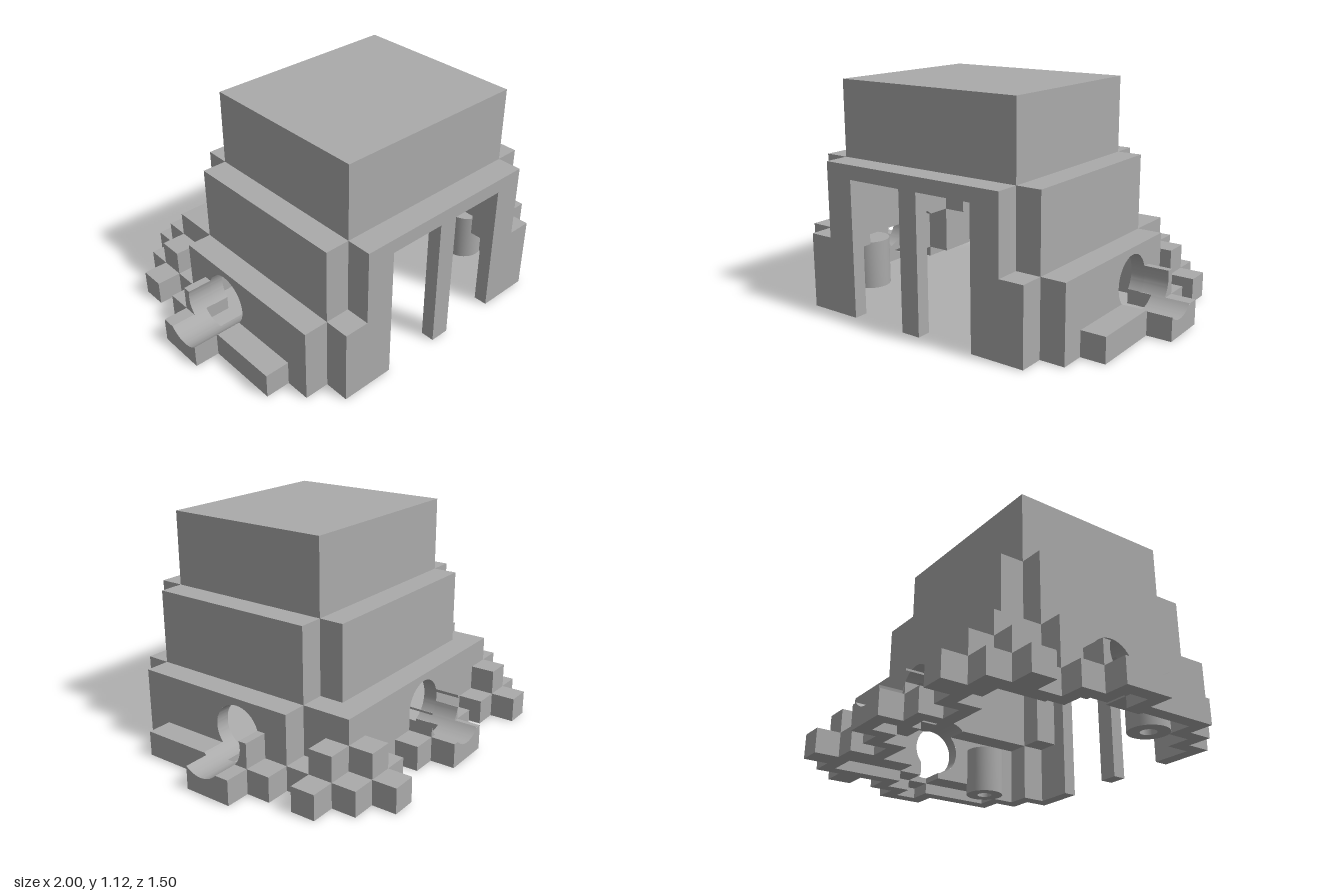
import * as THREE from 'three';
import { toCreasedNormals } from 'three/addons/utils/BufferGeometryUtils.js';

const U = 0.125; // block size
const WALL = 0.07; // shell thickness

// Stepped blocks, mirrored in x: [x0, x1, z0, z1, height], in block units
const BLOCKS = [
  // tiers
  [0, 4, -2, 5, 9],
  [0, 4, -3, 6, 6], [0, 5, -2, 5, 6],
  [0, 5, -4, 6, 3], [0, 6, -2, 5, 3],
  // rocks at the back corners
  [4, 5, -6, -5, 1], [4, 5, -5, -4, 2], [3, 6, -5, -4, 1],
  [5, 6, -4, -3, 2], [6, 7, -4, -3, 1], [5, 6, -3, -2, 1],
  // rocks around the back opening
  [0, 1, -6, -5, 1], [0, 1, -5, -4, 2], [1, 2, -5, -4, 1],
  // rocks around the side openings
  [6, 7, -2, 4, 1], [6, 7, -1, 1, 2], [7, 8, -1, 1, 1],
];

// Round openings: axis, cross axis u, extent along the axis, centre
const R = 0.128, CY = 0.212, SEGMENTS = 96;
const TUNNELS = [
  { a: 2, u: 0, from: -1, to: -0.4, c: 0 },
  { a: 0, u: 2, from: 0.5, to: 1.1, c: 0.04 },
  { a: 0, u: 2, from: -1.1, to: -0.5, c: 0.04 },
];

function heightAt(x, z) {
  const bx = Math.abs(x) / U, bz = z / U;
  let h = 0;
  for (const [x0, x1, z0, z1, bh] of BLOCKS)
    if (bx >= x0 && bx < x1 && bz >= z0 && bz < z1) h = Math.max(h, bh);
  return h * U;
}

// Solid where inside the blocks, but not in the cavity or the two doorways
function solid(x, y, z) {
  if (y < 0 || heightAt(x, z) <= y) return false;
  const ax = Math.abs(x);
  if (z > 0.6 && y < 0.68 && ax > 0.05 && ax < 0.35) return false;
  for (const dx of [-WALL, 0, WALL])
    for (const dz of [-WALL, 0, WALL])
      if (heightAt(x + dx, z + dz) <= y + WALL) return true;
  return false;
}

// Grid lines on every block edge and every inner wall edge
function gridLines(from, to, extra) {
  const lines = [...extra];
  for (let k = from; k <= to; k++) {
    lines.push(k * U);
    if (k < to) lines.push(k * U + U - WALL, k * U + WALL);
  }
  return lines.sort((p, q) => p - q);
}

const halfChord = (d) => Math.sqrt(Math.max(0, R * R - d * d));
const clamp = (v, lo, hi) => Math.min(hi, Math.max(lo, v));

// What remains of the interval [p, q] outside c - h .. c + h
function cut(p, q, c, h) {
  if (h <= 0) return [[p, q]];
  return [[p, Math.min(q, c - h)], [Math.max(p, c + h), q]].filter(([s, e]) => e - s > 1e-6);
}

function buildShell() {
  const parts = { rocks: [], lowerTier: [], middleTier: [], topBlock: [] };
  const grid = [
    gridLines(-8, 8, [-0.35, -0.05, 0.05, 0.35]),
    [0, 0.055, 0.125, 0.18, 0.25, 0.305, 0.375, 0.68, 0.75, 1.055, 1.125],
    gridLines(-6, 6, []),
  ];
  const partAt = ([x, y, z]) => y > 0.75 ? parts.topBlock : y > 0.375 ? parts.middleTier
    : heightAt(x, z) < 0.3 ? parts.rocks : parts.lowerTier;

  // Adds a quad turned towards the given direction
  const e1 = new THREE.Vector3(), e2 = new THREE.Vector3(), v = new THREE.Vector3();
  function quad(out, p, q, r, s, dir) {
    for (const [i, j, k] of [[p, q, r], [p, r, s]]) {
      v.fromArray(i);
      e1.fromArray(j).sub(v);
      e2.fromArray(k).sub(v);
      e1.cross(e2);
      if (e1.length() < 1e-9) continue;
      out.push(...i, ...(e1.dot(dir) > 0 ? [...j, ...k] : [...k, ...j]));
    }
  }
  function rect(out, lo, hi, d, dir) {
    const [m, n] = [0, 1, 2].filter((i) => i !== d);
    const b = [...lo], e = [...lo];
    b[m] = hi[m];
    e[n] = hi[n];
    quad(out, lo, b, hi, e, dir);
  }

  // Adds a face, trimmed by a round opening where one passes
  function face(out, lo, hi, d, dir) {
    const t = TUNNELS.find(({ a, u, from, to, c }) => {
      const mid = (lo[a] + hi[a]) / 2;
      return mid > from && mid < to && hi[u] > c - R && lo[u] < c + R && hi[1] > CY - R && lo[1] < CY + R;
    });
    if (!t) return rect(out, lo, hi, d, dir);
    const { a, u, c } = t;
    if (d !== a) {
      const along = d === 1 ? u : 1; // direction in which the face is shortened
      const h = d === 1 ? halfChord(lo[1] - CY) : halfChord(lo[u] - c);
      for (const [s, e] of cut(lo[along], hi[along], d === 1 ? c : CY, h)) {
        const l = [...lo], k = [...hi];
        l[along] = s;
        k[along] = e;
        rect(out, l, k, d, dir);
      }
      return;
    }
    // across the opening: strips above and below the circle
    const us = [lo[u], hi[u]];
    for (let i = 0; i <= SEGMENTS / 2; i++) {
      const w = c + R * Math.cos((i * 2 * Math.PI) / SEGMENTS);
      if (w > lo[u] && w < hi[u]) us.push(w);
    }
    us.sort((p, q) => p - q);
    const at = (w, y) => { const p = [...lo]; p[u] = w; p[1] = clamp(y, lo[1], hi[1]); return p; };
    for (let i = 0; i + 1 < us.length; i++) {
      const [p, q] = [us[i], us[i + 1]];
      for (const side of [-1, 1]) {
        const end = side < 0 ? lo[1] : hi[1];
        quad(out, at(p, end), at(q, end), at(q, CY + side * halfChord(q - c)),
          at(p, CY + side * halfChord(p - c)), dir);
      }
    }
  }

  // Flat faces between solid and empty cells
  const count = grid.map((g) => g.length - 1);
  const centre = (i, d) => i < 0 || i >= count[d] ? (i < 0 ? -9 : 9) : (grid[d][i] + grid[d][i + 1]) / 2;
  for (let i = 0; i < count[0]; i++)
    for (let j = 0; j < count[1]; j++)
      for (let k = 0; k < count[2]; k++) {
        const cell = [i, j, k], mid = cell.map(centre);
        if (!solid(...mid)) continue;
        for (let d = 0; d < 3; d++)
          for (const s of [-1, 1]) {
            const next = [...mid];
            next[d] = centre(cell[d] + s, d);
            if (solid(...next)) continue;
            const lo = cell.map((n, x) => grid[x][n]), hi = cell.map((n, x) => grid[x][n + 1]);
            lo[d] = hi[d] = s < 0 ? lo[d] : hi[d];
            face(partAt(mid), lo, hi, d, new THREE.Vector3().setComponent(d, s));
          }
      }

  // Curved walls of the round openings
  for (const { a, u, from, to, c } of TUNNELS)
    for (let k = 0; k < count[a]; k++) {
      const mid = centre(k, a);
      if (mid < from || mid > to) continue;
      for (let i = 0; i < SEGMENTS; i++) {
        const at = (n, w) => {
          const p = [0, 0, 0], angle = (n * 2 * Math.PI) / SEGMENTS;
          p[a] = w;
          p[u] = c + R * Math.cos(angle);
          p[1] = CY + R * Math.sin(angle);
          return p;
        };
        const m = at(i + 0.5, mid);
        if (!solid(...m)) continue;
        const dir = new THREE.Vector3(0, CY - m[1], 0).setComponent(u, c - m[u]);
        const [p, q] = [grid[a][k], grid[a][k + 1]];
        quad(partAt(m), at(i, p), at(i + 1, p), at(i + 1, q), at(i, q), dir);
      }
    }
  return parts;
}

export function createModel() {
  const model = new THREE.Group();
  model.name = 'hollowSteppedHouse';
  const grey = new THREE.MeshStandardMaterial({ color: 0xaaaaaa });
  grey.name = 'grey';

  for (const [name, points] of Object.entries(buildShell())) {
    const geometry = new THREE.BufferGeometry();
    geometry.setAttribute('position', new THREE.Float32BufferAttribute(points, 3));
    const mesh = new THREE.Mesh(toCreasedNormals(geometry, 0.5), grey);
    mesh.name = name;
    model.add(mesh);
  }

  // Screw posts inside the side walls
  const profile = [[0, 0.2], [0.04, 0.2], [0.04, 0], [0.1, 0], [0.1, 0.25], [0, 0.25]];
  const post = toCreasedNormals(
    new THREE.LatheGeometry(profile.map(([x, y]) => new THREE.Vector2(x, y)), 32), 0.5);
  for (const side of [-1, 1]) {
    const mesh = new THREE.Mesh(post, grey);
    mesh.name = side > 0 ? 'leftScrewPost' : 'rightScrewPost';
    mesh.position.set(side * 0.645, 0, 0.34);
    model.add(mesh);
  }
  return model;
}
